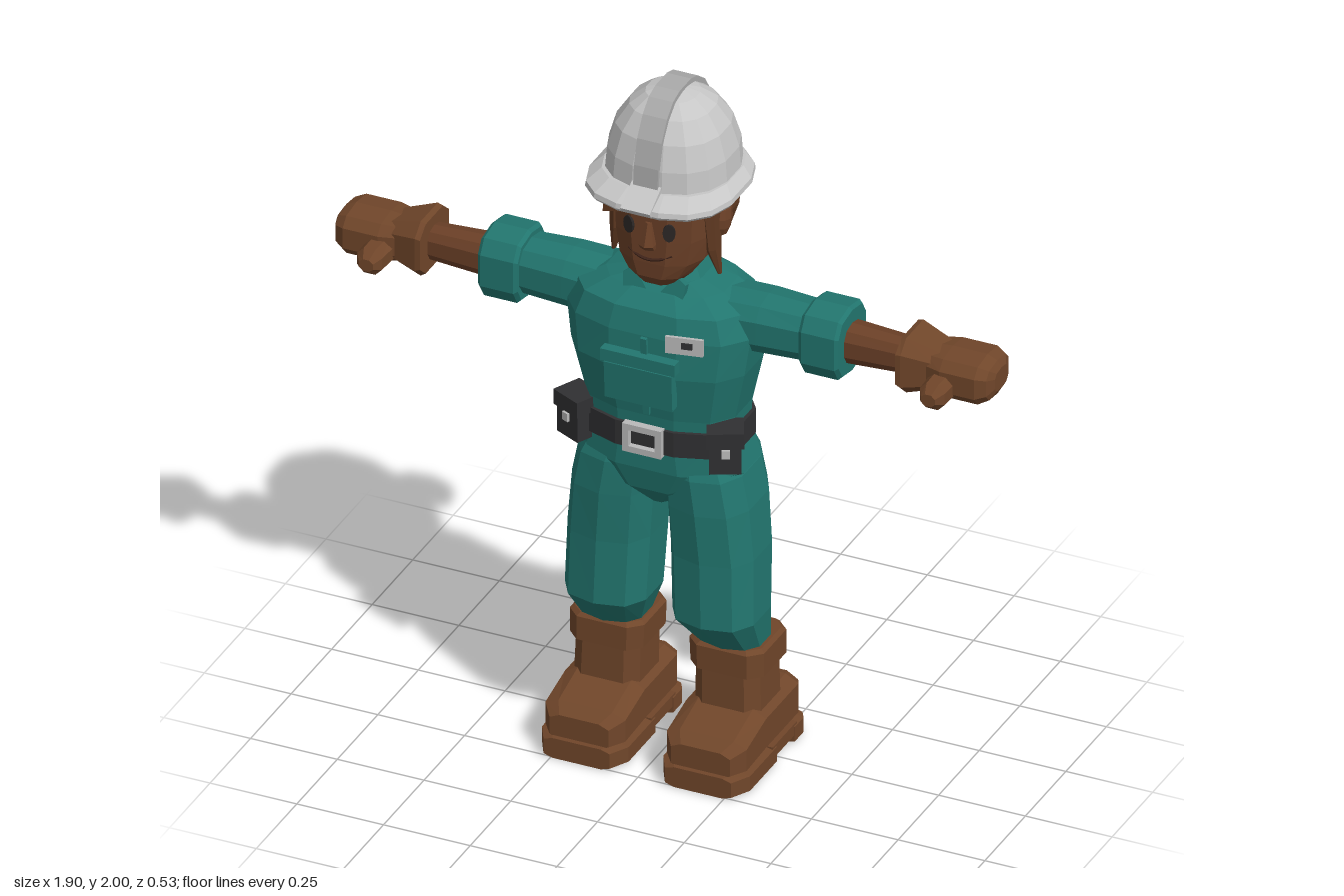
import * as THREE from 'three';

const mat = (name, color, extra = {}) => {
  const m = new THREE.MeshStandardMaterial({ color, flatShading: true, ...extra });
  m.name = name;
  return m;
};

// Lofted solid. Rows: [t, aMin, aMax, bMin, bMax], t ascending.
// axis y: a = x, b = z | axis x: a = z, b = y | axis z: a = y, b = x
function loft(axis, rows, n = 12, p = 0.75) {
  const place = { x: (t, a, b) => [t, b, a], y: (t, a, b) => [a, t, b], z: (t, a, b) => [b, a, t] }[axis];
  const se = v => Math.sign(v) * Math.abs(v) ** p;
  const unit = se(Math.cos(Math.PI / n));
  const pos = [], idx = [];
  for (const [t, a0, a1, b0, b1] of rows) {
    for (let i = 0; i < n; i++) {
      const w = (i + 0.5) / n * Math.PI * 2;
      pos.push(...place(t, (a0 + a1) / 2 + (a1 - a0) / 2 * se(Math.cos(w)) / unit,
        (b0 + b1) / 2 + (b1 - b0) / 2 * se(Math.sin(w)) / unit));
    }
  }
  const last = rows.length - 1, c = rows.length * n;
  for (const [t, a0, a1, b0, b1] of [rows[0], rows[last]]) pos.push(...place(t, (a0 + a1) / 2, (b0 + b1) / 2));
  for (let i = 0; i < n; i++) {
    const j = (i + 1) % n;
    for (let r = 0; r < last; r++) {
      const k = r * n;
      idx.push(k + i, k + n + i, k + j, k + j, k + n + i, k + n + j);
    }
    idx.push(c, i, j, c + 1, last * n + j, last * n + i);
  }
  const g = new THREE.BufferGeometry();
  g.setAttribute('position', new THREE.Float32BufferAttribute(pos, 3));
  g.setIndex(idx);
  const flat = g.toNonIndexed();
  flat.computeVertexNormals();
  return flat;
}

const box = (w, h, d, x, y, z, ry = 0, rx = 0) =>
  new THREE.BoxGeometry(w, h, d).rotateX(rx).rotateY(ry).translate(x, y, z);

// Mirrored copy across x = 0 with the winding restored
function mirror(geo) {
  const g = geo.index ? geo.toNonIndexed() : geo.clone();
  g.scale(-1, 1, 1);
  const p = g.attributes.position, a = new THREE.Vector3(), b = new THREE.Vector3();
  for (let i = 0; i < p.count; i += 3) {
    a.fromBufferAttribute(p, i + 1);
    b.fromBufferAttribute(p, i + 2);
    p.setXYZ(i + 1, b.x, b.y, b.z);
    p.setXYZ(i + 2, a.x, a.y, a.z);
  }
  g.computeVertexNormals();
  return g;
}

function extrude(points, depth) {
  return new THREE.ExtrudeGeometry(new THREE.Shape(points.map(q => new THREE.Vector2(...q))),
    { depth, bevelEnabled: false });
}

export function createModel() {
  const root = new THREE.Group();
  root.name = 'worker';
  const teal = mat('teal cloth', 0x22766f), skin = mat('skin', 0x6b4027), hair = mat('hair', 0x613a22),
    leather = mat('boot leather', 0x70462a), shell = mat('helmet grey', 0xc6c6c6),
    rib = mat('helmet rib grey', 0xaaaaaa), black = mat('belt black', 0x303032),
    metal = mat('metal', 0xb9b9b9), dark = mat('eye dark', 0x2b2625), lip = mat('mouth brown', 0x40241a);

  const add = (name, g, m) => {
    const mesh = new THREE.Mesh(g, m);
    mesh.name = name;
    root.add(mesh);
  };
  const pair = (name, g, m) => {
    add(name + 'Left', g, m);
    add(name + 'Right', mirror(g), m);
  };

  // Boots
  pair('bootHeel', loft('z', [[-0.155, 0, 0.06, 0.065, 0.285], [-0.13, 0, 0.06, 0.05, 0.3], [-0.075, 0, 0.06, 0.05, 0.3]], 8, 0.35), leather);
  pair('bootArch', box(0.245, 0.035, 0.15, 0.175, 0.042, -0.02), leather);
  pair('bootSole', loft('z', [[0.035, 0, 0.06, 0.05, 0.3], [0.2, 0, 0.06, 0.05, 0.3], [0.255, 0, 0.06, 0.08, 0.27]], 8, 0.35), leather);
  pair('bootFoot', loft('z', [[-0.15, 0.05, 0.17, 0.075, 0.275], [-0.12, 0.05, 0.18, 0.06, 0.29],
    [0.08, 0.05, 0.18, 0.06, 0.29], [0.2, 0.05, 0.145, 0.06, 0.29], [0.24, 0.05, 0.125, 0.09, 0.26]], 8, 0.45), leather);
  pair('bootShaft', loft('y', [[0.15, 0.08, 0.27, -0.085, 0.1], [0.29, 0.08, 0.265, -0.085, 0.095]], 8, 0.5), leather);
  pair('bootCuff', loft('y', [[0.28, 0.068, 0.28, -0.1, 0.105], [0.35, 0.065, 0.28, -0.1, 0.105], [0.36, 0.075, 0.27, -0.09, 0.095]], 8, 0.45), leather);

  // Trousers
  pair('leg', loft('y', [[0.35, 0.085, 0.26, -0.06, 0.095], [0.46, 0.038, 0.272, -0.06, 0.19],
    [0.65, 0.03, 0.268, -0.08, 0.186], [0.8, 0.02, 0.255, -0.095, 0.192], [0.9, 0.01, 0.235, -0.09, 0.19], [0.97, 0.01, 0.2, -0.07, 0.17]], 10, 0.75), teal);
  add('pelvis', loft('y', [[0.775, -0.03, 0.03, 0, 0.13], [0.84, -0.15, 0.15, -0.06, 0.185],
    [0.91, -0.24, 0.24, -0.1, 0.2], [1.0, -0.212, 0.212, -0.078, 0.2]]), teal);

  // Torso and collar
  add('torso', loft('y', [[0.98, -0.212, 0.212, -0.075, 0.198], [1.08, -0.218, 0.218, -0.08, 0.205],
    [1.22, -0.25, 0.25, -0.09, 0.228], [1.33, -0.265, 0.265, -0.097, 0.222], [1.395, -0.24, 0.24, -0.095, 0.205],
    [1.43, -0.17, 0.17, -0.085, 0.16], [1.45, -0.1, 0.1, -0.06, 0.13]]), teal);
  add('collar', loft('y', [[1.42, -0.115, 0.115, -0.07, 0.15], [1.475, -0.085, 0.085, -0.05, 0.115]], 10), teal);
  pair('collarFlap', extrude([[0.004, 1.405], [0.085, 1.415], [0.09, 1.46], [0.06, 1.48]], 0.02).rotateX(-0.25).translate(0, 0.045, 0.49), teal);
  add('frontSeam', box(0.018, 0.24, 0.01, 0.008, 1.21, 0.222, 0, 0.08), teal);
  add('chestPocket', box(0.195, 0.11, 0.03, 0, 1.19, 0.235, 0, 0.06), teal);
  add('pocketFlap', box(0.215, 0.035, 0.03, 0, 1.265, 0.24), teal);
  add('badge', box(0.102, 0.05, 0.009, 0.122, 1.33, 0.224, 0.2), metal);
  add('badgeMark', box(0.03, 0.018, 0.006, 0.13, 1.333, 0.228, 0.2), black);

  // Belt, buckle and pouches
  add('belt', loft('y', [[0.975, -0.226, 0.226, -0.09, 0.212], [1.048, -0.226, 0.226, -0.09, 0.212]]), black);
  for (const s of [-1, 1]) {
    add('buckleSide', box(0.018, 0.084, 0.022, s * 0.047, 1.012, 0.218), metal);
    add('buckleBar', box(0.1, 0.018, 0.022, 0, 1.012 + s * 0.033, 0.218), metal);
  }
  pair('pouch', box(0.085, 0.12, 0.075, 0.212, 1.012, 0.165, 0.45), black);
  pair('pouchFlap', box(0.098, 0.045, 0.088, 0.212, 1.055, 0.165, 0.45), black);
  pair('pouchStud', box(0.022, 0.024, 0.012, 0.23, 1.015, 0.2, 0.45), metal);

  // Arms and gloves
  pair('sleeve', loft('x', [[0.16, -0.05, 0.13, 1.27, 1.425], [0.28, -0.045, 0.125, 1.275, 1.43], [0.43, -0.035, 0.115, 1.28, 1.425]], 10), teal);
  pair('sleeveCuff', loft('x', [[0.405, -0.045, 0.125, 1.262, 1.438], [0.415, -0.052, 0.132, 1.252, 1.446],
    [0.51, -0.052, 0.132, 1.252, 1.446], [0.52, -0.045, 0.125, 1.262, 1.438]], 10, 0.65), teal);
  pair('forearm', loft('x', [[0.5, -0.012, 0.092, 1.292, 1.402], [0.72, 0, 0.08, 1.302, 1.392]], 10), skin);
  pair('gloveCuff', loft('x', [[0.685, -0.05, 0.13, 1.275, 1.425], [0.7, -0.05, 0.13, 1.265, 1.43], [0.79, -0.025, 0.105, 1.29, 1.4]], 8, 0.6), leather);
  pair('gloveHand', loft('x', [[0.76, -0.03, 0.11, 1.29, 1.4], [0.81, -0.045, 0.125, 1.28, 1.405],
    [0.91, -0.045, 0.125, 1.28, 1.405], [0.938, -0.03, 0.11, 1.295, 1.393], [0.95, 0, 0.08, 1.315, 1.375]], 10, 0.65), leather);
  pair('gloveThumb', loft('z', [[0.08, 1.285, 1.36, 0.77, 0.85], [0.17, 1.285, 1.36, 0.775, 0.847], [0.195, 1.305, 1.34, 0.79, 0.83]], 8, 0.9), leather);

  // Head
  add('head', loft('y', [[1.455, -0.06, 0.06, 0.0, 0.16], [1.485, -0.09, 0.09, -0.05, 0.18], [1.53, -0.122, 0.122, -0.075, 0.183],
    [1.6, -0.137, 0.137, -0.095, 0.183], [1.74, -0.143, 0.143, -0.1, 0.183]]), skin);
  add('neck', loft('y', [[1.4, -0.07, 0.07, -0.04, 0.1], [1.51, -0.07, 0.07, -0.04, 0.1]], 10), skin);
  pair('ear', new THREE.SphereGeometry(1, 8, 6).scale(0.022, 0.053, 0.034).rotateX(-0.15).translate(0.149, 1.632, 0.04), skin);
  add('nose', loft('y', [[1.578, -0.02, 0.02, 0.165, 0.2], [1.592, -0.021, 0.021, 0.165, 0.21], [1.655, -0.009, 0.009, 0.17, 0.19]], 6), skin);
  pair('eye', new THREE.CylinderGeometry(1, 1, 0.008, 12).rotateX(Math.PI / 2).scale(0.017, 0.026, 1).rotateY(0.35).translate(0.058, 1.635, 0.182), dark);
  pair('eyebrow', box(0.05, 0.009, 0.008, 0.06, 1.678, 0.182, 0.35), hair);
  const smile = new THREE.QuadraticBezierCurve3(new THREE.Vector3(-0.062, 1.562, 0.173),
    new THREE.Vector3(0, 1.525, 0.2), new THREE.Vector3(0.062, 1.562, 0.173));
  add('mouth', new THREE.TubeGeometry(smile, 10, 0.0045, 5), lip);

  // Hair
  add('hairBack', loft('y', [[1.55, -0.125, 0.125, -0.088, 0.03], [1.62, -0.146, 0.146, -0.108, 0.03], [1.74, -0.15, 0.15, -0.112, 0.03]]), hair);
  add('fringe', extrude([[-0.125, 1.73], [-0.13, 1.66], [-0.06, 1.675], [0.03, 1.7], [0.1, 1.715], [0.12, 1.73]], 0.02).translate(0, 0, 0.17), hair);
  pair('sideLock', loft('y', [[1.478, 0.148, 0.157, 0.065, 0.078], [1.56, 0.122, 0.153, 0.055, 0.105], [1.73, 0.105, 0.15, 0.04, 0.12]], 6), hair);
  const tail = new THREE.CatmullRomCurve3([[1.615, -0.085], [1.625, -0.15], [1.585, -0.205], [1.51, -0.224], [1.42, -0.185]]
    .map(([y, z]) => new THREE.Vector3(0, y, z)));
  const pony = new THREE.TubeGeometry(tail, 10, 1, 8), pp = pony.attributes.position, v = new THREE.Vector3();
  const girth = [0.026, 0.03, 0.034, 0.038, 0.04, 0.041, 0.041, 0.038, 0.03, 0.018, 0.002];
  for (let i = 0; i < pp.count; i++) {
    const k = Math.floor(i / 9), c = tail.getPointAt(k / 10);
    v.fromBufferAttribute(pp, i).sub(c).multiplyScalar(girth[k]);
    pp.setXYZ(i, c.x + v.x * 1.25, c.y + v.y, c.z + v.z);
  }
  pony.computeVertexNormals();
  add('ponytail', pony, hair);
  add('hairTie', new THREE.TorusGeometry(0.03, 0.01, 6, 10).translate(0, 1.618, -0.118), hair);

  // Hard hat: dome, brim, centre rib and front tab
  const dome = [[1.73, 0.175, -0.146, 0.2], [1.82, 0.168, -0.14, 0.192], [1.89, 0.148, -0.118, 0.172],
    [1.945, 0.112, -0.08, 0.138], [1.978, 0.07, -0.035, 0.1], [1.99, 0.03, 0.005, 0.06]];
  add('helmetDome', loft('y', dome.map(([y, w, b, f]) => [y, -w, w, b, f]), 16, 0.85), shell);
  add('helmetBrim', loft('y', [[1.712, -0.2, 0.2, -0.15, 0.25], [1.722, -0.207, 0.207, -0.157, 0.258],
    [1.736, -0.205, 0.205, -0.155, 0.255], [1.76, -0.176, 0.176, -0.148, 0.202]], 16, 0.75), shell);
  const ridge = [...dome.map(([y, , , f]) => [f + 0.008, y + 0.01]), ...dome.map(([y, , b]) => [b - 0.008, y + 0.01]).reverse()];
  add('helmetRib', extrude(ridge, 0.07).rotateY(-Math.PI / 2).translate(0.035, 0, 0), rib);
  add('helmetTab', box(0.085, 0.018, 0.085, 0, 1.748, 0.228, 0, 0.55), shell);

  return root;
}
